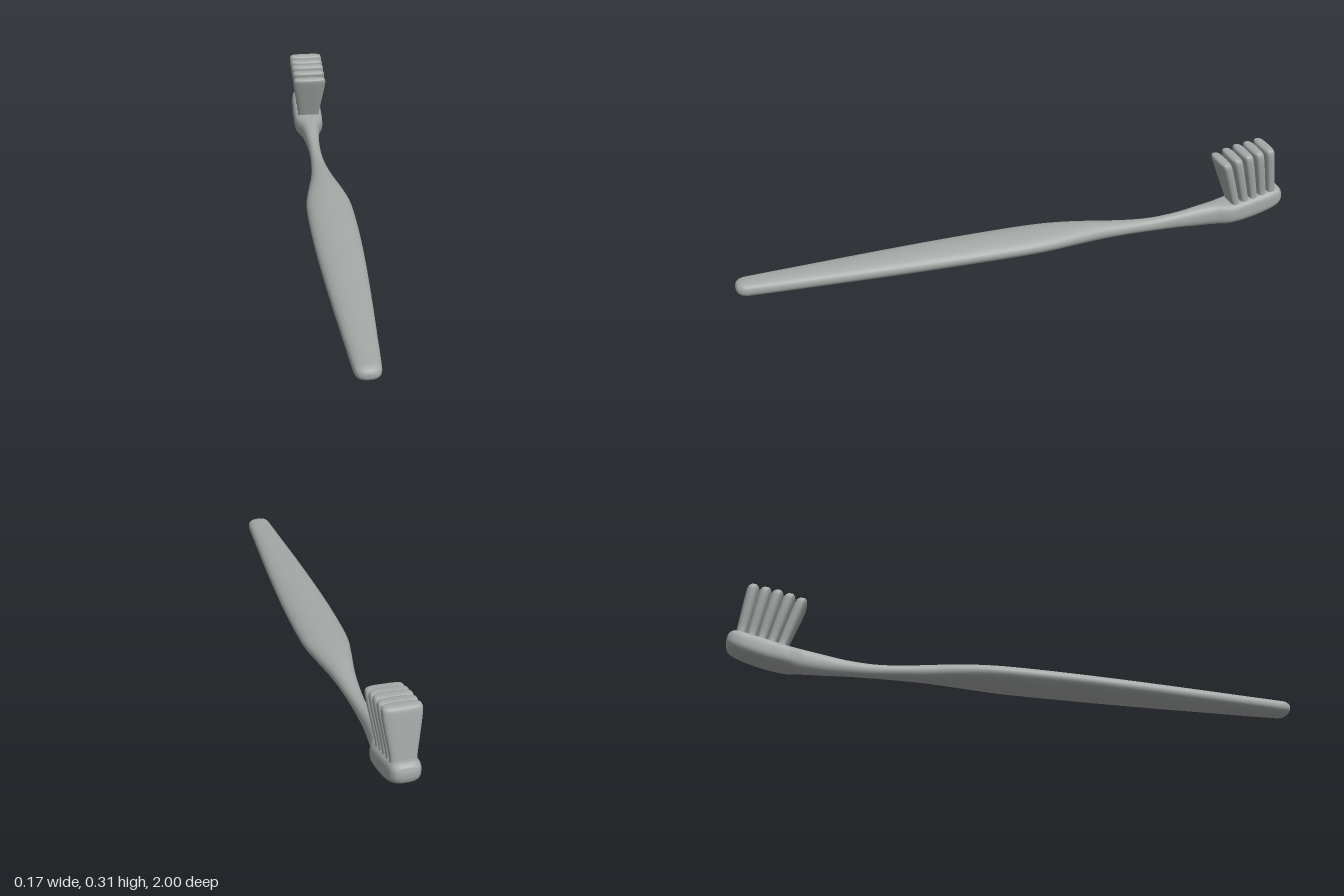
import * as THREE from 'three';

const SIDES = 40;

// Skin a closed solid over rings: centre c, half-axes u and v (u x v points along the loft), exponent n
function loft(rings) {
  const pos = [], idx = [];
  const bend = (t, n) => Math.sign(t) * Math.pow(Math.abs(t), 2 / n);
  for (const { c, u, v, n } of rings) {
    for (let j = 0; j < SIDES; j++) {
      const a = (j / SIDES) * Math.PI * 2;
      const p = c.clone().addScaledVector(u, bend(Math.cos(a), n)).addScaledVector(v, bend(Math.sin(a), n));
      pos.push(p.x, p.y, p.z);
    }
  }
  for (let i = 0; i < rings.length - 1; i++) {
    for (let j = 0; j < SIDES; j++) {
      const k = (j + 1) % SIDES;
      const a = i * SIDES + j, b = i * SIDES + k;
      idx.push(a, b, b + SIDES, a, b + SIDES, a + SIDES);
    }
  }
  // end caps
  const first = rings[0].c, last = rings[rings.length - 1].c;
  const s = pos.length / 3, off = (rings.length - 1) * SIDES;
  pos.push(first.x, first.y, first.z, last.x, last.y, last.z);
  for (let j = 0; j < SIDES; j++) {
    const k = (j + 1) % SIDES;
    idx.push(s, k, j, s + 1, off + j, off + k);
  }
  const g = new THREE.BufferGeometry();
  g.setAttribute('position', new THREE.Float32BufferAttribute(pos, 3));
  g.setIndex(idx);
  g.computeVertexNormals();
  return g;
}

// Smooth monotone-friendly interpolation through a table of rows, keyed by the first column
function sampleRows(rows, steps) {
  const out = [];
  for (let i = 0; i < rows.length - 1; i++) {
    const p0 = rows[Math.max(i - 1, 0)], p1 = rows[i], p2 = rows[i + 1], p3 = rows[Math.min(i + 2, rows.length - 1)];
    for (let s = 0; s < steps; s++) {
      const t = s / steps, h = p2[0] - p1[0];
      out.push(p1.map((a, k) => {
        if (k === 0) return a + h * t;
        const m1 = ((p2[k] - p0[k]) / (p2[0] - p0[0])) * h;
        const m2 = ((p3[k] - p1[k]) / (p3[0] - p1[0])) * h;
        const t2 = t * t, t3 = t2 * t;
        return a * (2 * t3 - 3 * t2 + 1) + m1 * (t3 - 2 * t2 + t) + p2[k] * (3 * t2 - 2 * t3) + m2 * (t3 - t2);
      }));
    }
  }
  out.push(rows[rows.length - 1]);
  return out;
}

// Handle, neck and head: z, bottom y, top y, half width, squareness
const BODY = [
  [-1.0, 0.096, 0.116, 0.022, 2.4],
  [-0.994, 0.08, 0.133, 0.038, 2.6],
  [-0.975, 0.066, 0.143, 0.05, 3],
  [-0.93, 0.049, 0.134, 0.055, 3.2],
  [-0.86, 0.03, 0.117, 0.056, 3.2],
  [-0.8, 0.02, 0.103, 0.055, 3],
  [-0.77, 0.017, 0.1, 0.047, 2.8],
  [-0.74, 0.016, 0.098, 0.037, 2.5],
  [-0.68, 0.016, 0.09, 0.029, 2.3],
  [-0.6, 0.019, 0.077, 0.023, 2.2],
  [-0.5, 0.021, 0.069, 0.023, 2.2],
  [-0.4, 0.022, 0.073, 0.03, 2.1],
  [-0.3, 0.021, 0.083, 0.042, 2.1],
  [-0.2, 0.019, 0.09, 0.061, 2.1],
  [-0.1, 0.017, 0.091, 0.078, 2.1],
  [0.0, 0.014, 0.09, 0.083, 2.1],
  [0.2, 0.011, 0.085, 0.082, 2.1],
  [0.4, 0.008, 0.078, 0.075, 2.2],
  [0.6, 0.006, 0.07, 0.065, 2.3],
  [0.8, 0.004, 0.062, 0.053, 2.4],
  [0.95, 0.003, 0.056, 0.044, 2.5],
  [0.978, 0.005, 0.054, 0.04, 2.5],
  [0.994, 0.013, 0.046, 0.029, 2.4],
  [1.0, 0.022, 0.037, 0.014, 2.2],
];

function bodyGeometry() {
  return loft(sampleRows(BODY, 4).map(([z, lo, hi, w, n]) => ({
    c: new THREE.Vector3(0, (lo + hi) / 2, z),
    u: new THREE.Vector3(w, 0, 0),
    v: new THREE.Vector3(0, (hi - lo) / 2, 0),
    n,
  })));
}

// One bristle row: height fraction, half width, half thickness
const ROW = [
  [0, 0.043, 0.018],
  [0.15, 0.043, 0.0185],
  [0.4, 0.05, 0.02],
  [0.7, 0.059, 0.0215],
  [0.88, 0.063, 0.022],
  [0.95, 0.062, 0.021],
  [0.985, 0.057, 0.016],
  [1, 0.048, 0.008],
];

function bristleGeometry(base, top) {
  return loft(sampleRows(ROW, 3).map(([t, w, d]) => ({
    c: base.clone().lerp(top, t),
    u: new THREE.Vector3(0, 0, d),
    v: new THREE.Vector3(w, 0, 0),
    n: 3.2,
  })));
}

export function createModel() {
  const gray = new THREE.MeshStandardMaterial({ color: 0xa6a8a7 });
  gray.name = 'matte gray';
  const model = new THREE.Group();
  model.name = 'toothbrush';

  const add = (name, geometry, parent = model) => {
    const mesh = new THREE.Mesh(geometry, gray);
    mesh.name = name;
    parent.add(mesh);
  };

  add('handleAndHead', bodyGeometry());

  // five bristle rows fanning toward the handle
  const bristles = new THREE.Group();
  bristles.name = 'bristles';
  const tops = [0.275, 0.288, 0.298, 0.304, 0.311];
  tops.forEach((y, i) => {
    const base = new THREE.Vector3(0, 0.085 + i * 0.008, -0.82 - i * 0.034);
    const top = new THREE.Vector3(0, y, -0.758 - i * 0.0415);
    add('bristleRow' + (i + 1), bristleGeometry(base, top), bristles);
  });
  model.add(bristles);
  return model;
}
